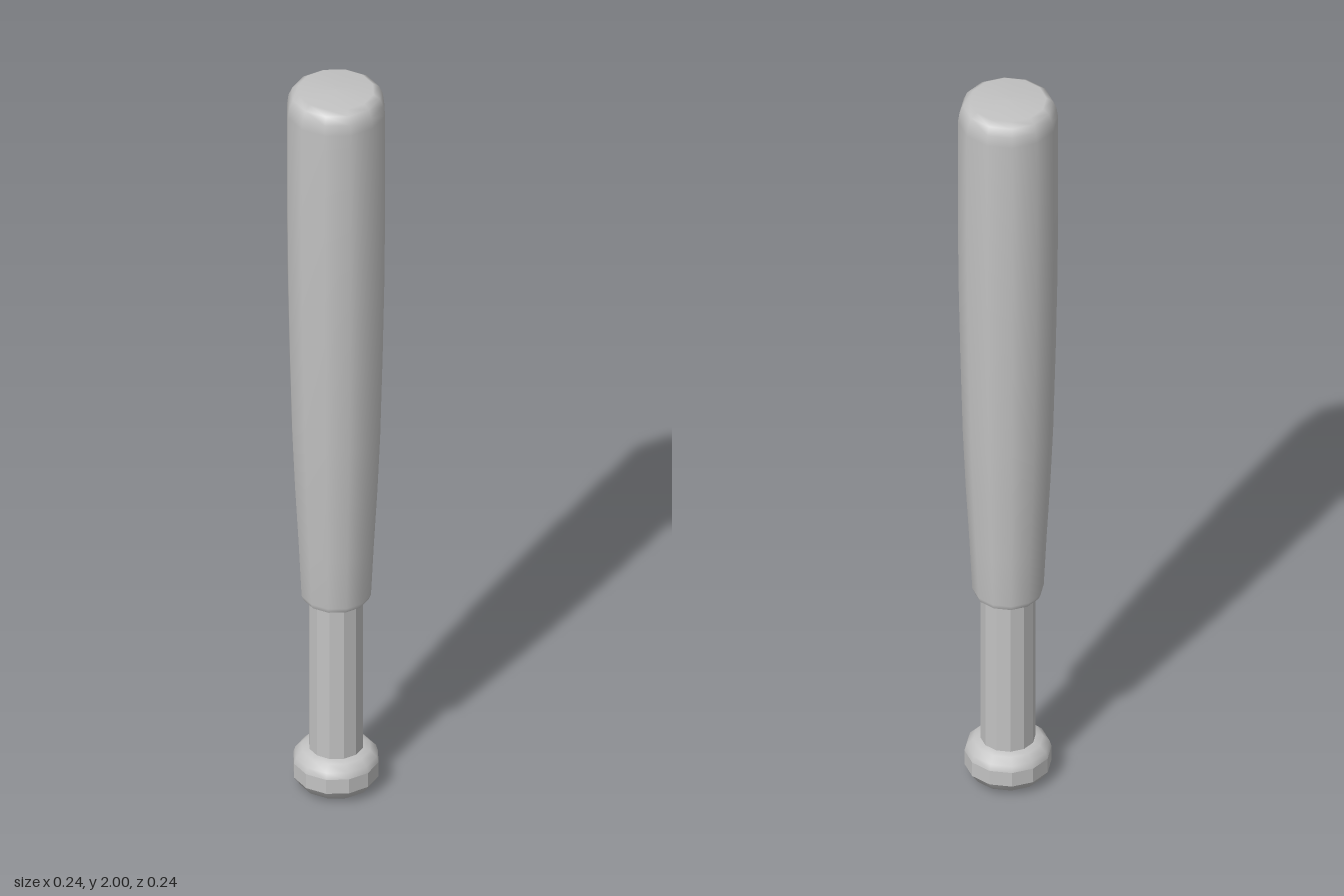
import * as THREE from 'three';

const SIDES = 12;

export function createModel() {
  const group = new THREE.Group();
  group.name = 'bat';
  const grey = new THREE.MeshStandardMaterial({ color: 0xc2c2c2 });
  grey.name = 'light grey';

  // Turned part from [radius, height] pairs listed bottom to top
  function turned(name, profile, faceted = false) {
    const points = profile.map(([r, y]) => new THREE.Vector2(r, y));
    let geometry = new THREE.LatheGeometry(points, SIDES);
    if (faceted) {
      geometry = geometry.toNonIndexed();
      geometry.computeVertexNormals();
    }
    const mesh = new THREE.Mesh(geometry, grey);
    mesh.name = name;
    group.add(mesh);
  }

  // Knob: rounded underside, faceted rim, sloping shoulder
  turned('knobBase', [[0, 0], [0.075, 0.003], [0.09, 0.013], [0.106, 0.036]]);
  turned('knobRim', [[0.106, 0.036], [0.106, 0.076]], true);
  turned('knobShoulder', [[0.106, 0.076], [0.101, 0.092], [0.085, 0.108], [0.066, 0.112]]);

  // Straight grip
  turned('handle', [[0.067, 0.1], [0.067, 0.56]], true);

  // Step under the barrel
  turned('barrelStep', [[0.06, 0.542], [0.081, 0.542]]);

  // Barrel swelling towards a rounded end
  turned('barrel', [
    [0.081, 0.542], [0.087, 0.556], [0.094, 0.7], [0.103, 0.86], [0.11, 1.02],
    [0.116, 1.25], [0.12, 1.45], [0.122, 1.65], [0.122, 1.94],
    [0.118, 1.967], [0.109, 1.988], [0.093, 1.998], [0, 2],
  ]);

  return group;
}
